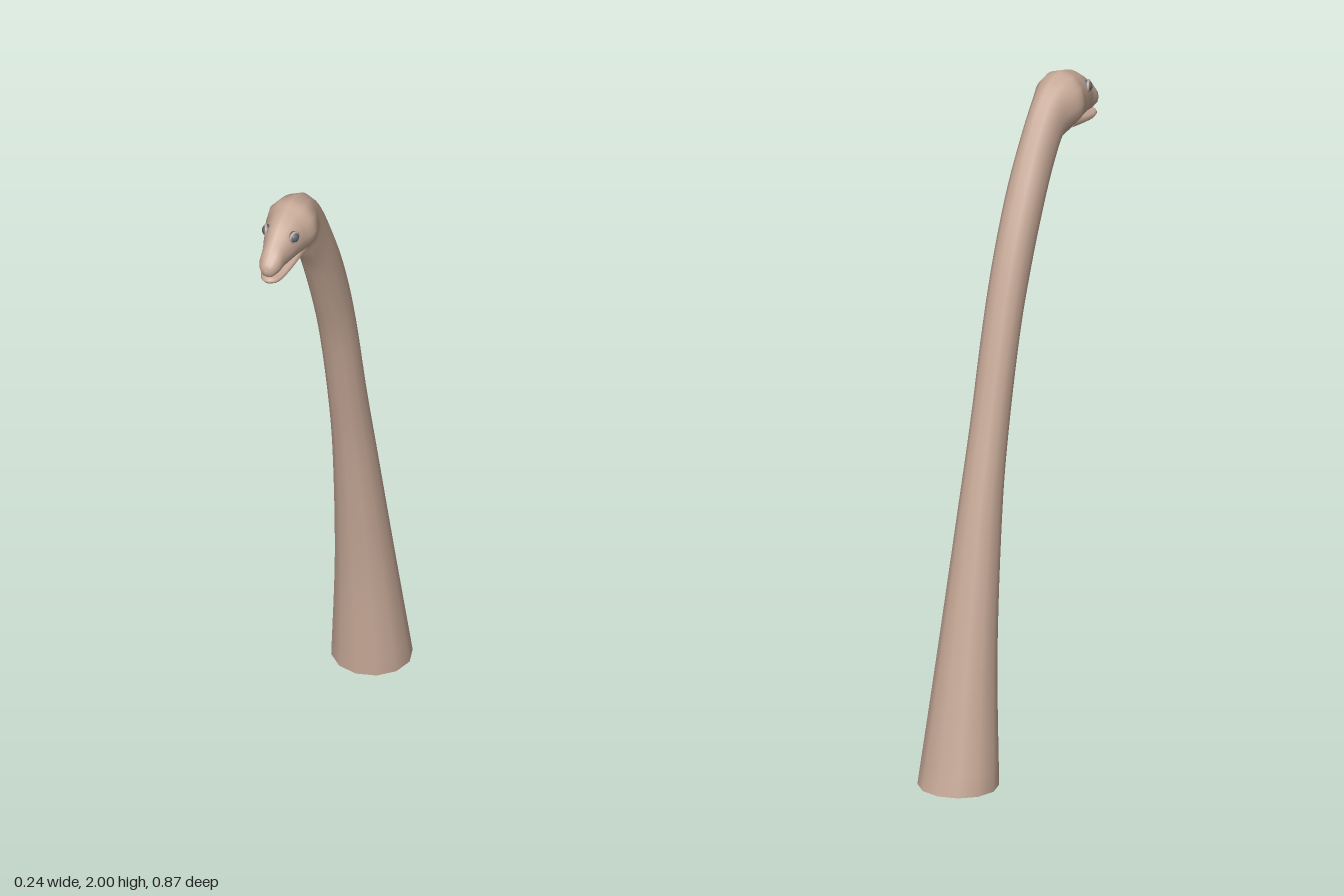
import * as THREE from 'three';

const SIDES = 12;

// Smooth skin through sections [topZ, topY, bottomZ, bottomY, halfWidth], closed at both ends
function loft(sections, rings) {
  const curve = (f) => new THREE.CatmullRomCurve3(sections.map(f), false, 'catmullrom', 0.5);
  const tops = curve((s) => new THREE.Vector3(s[4], s[1], s[0]));
  const bottoms = curve((s) => new THREE.Vector3(s[4], s[3], s[2]));
  const pos = [], index = [];
  for (let i = 0; i <= rings; i++) {
    const t = tops.getPoint(i / rings), b = bottoms.getPoint(i / rings);
    for (let j = 0; j < SIDES; j++) {
      const a = (j / SIDES) * Math.PI * 2, k = (1 + Math.cos(a)) / 2;
      pos.push(t.x * Math.sin(a), b.y + (t.y - b.y) * k, b.z + (t.z - b.z) * k);
      if (i === rings) continue;
      const A = i * SIDES + j, B = i * SIDES + (j + 1) % SIDES;
      index.push(A, A + SIDES, B, B, A + SIDES, B + SIDES);
    }
  }
  // flat start cap on its own vertices, rounded end cap sharing the last ring
  const start = pos.length / 3, last = rings * SIDES;
  pos.push(...pos.slice(0, SIDES * 3));
  const s0 = sections[0], s1 = sections[sections.length - 1];
  pos.push(0, (s0[1] + s0[3]) / 2, (s0[0] + s0[2]) / 2);
  pos.push(0, (s1[1] + s1[3]) / 2, (s1[0] + s1[2]) / 2 + 0.002);
  for (let j = 0; j < SIDES; j++) {
    const n = (j + 1) % SIDES;
    index.push(start + SIDES, start + j, start + n);
    index.push(start + SIDES + 1, last + n, last + j);
  }
  const g = new THREE.BufferGeometry();
  g.setAttribute('position', new THREE.Float32BufferAttribute(pos, 3));
  g.setIndex(index);
  g.computeVertexNormals();
  return g;
}

export function createModel() {
  const group = new THREE.Group();
  const skin = new THREE.MeshStandardMaterial({ color: 0xc8aa98 });
  const eyeMat = new THREE.MeshStandardMaterial({ color: 0x5a6672 });
  const add = (name, geometry, material, parent = group) => {
    const mesh = new THREE.Mesh(geometry, material);
    mesh.name = name;
    parent.add(mesh);
    return mesh;
  };

  // Long neck running on into the skull and snout
  add('neckAndSkull', loft([
    [-0.435, 0, -0.205, 0, 0.118],
    [-0.352, 0.4, -0.185, 0.38, 0.087],
    [-0.265, 0.8, -0.135, 0.78, 0.064],
    [-0.2, 1.06, -0.092, 1.02, 0.056],
    [-0.13, 1.34, -0.03, 1.29, 0.055],
    [-0.07, 1.54, 0.035, 1.475, 0.055],
    [0.005, 1.72, 0.11, 1.65, 0.055],
    [0.09, 1.88, 0.168, 1.745, 0.052],
    [0.165, 1.97, 0.205, 1.802, 0.056],
    [0.24, 2.0, 0.25, 1.825, 0.077],
    [0.29, 1.993, 0.298, 1.83, 0.062],
    [0.335, 1.973, 0.335, 1.834, 0.05],
    [0.375, 1.943, 0.37, 1.838, 0.038],
    [0.405, 1.917, 0.405, 1.84, 0.033],
    [0.43, 1.89, 0.425, 1.845, 0.021],
    [0.437, 1.872, 0.433, 1.855, 0.007],
  ], 90), skin);

  // Lower jaw, leaving a crease for the mouth
  add('lowerJaw', loft([
    [0.25, 1.875, 0.25, 1.826, 0.05],
    [0.32, 1.856, 0.32, 1.82, 0.045],
    [0.38, 1.843, 0.38, 1.814, 0.036],
    [0.412, 1.84, 0.41, 1.816, 0.026],
    [0.427, 1.834, 0.425, 1.823, 0.01],
  ], 20), skin);

  // Eyes with a rim of skin
  for (const side of [1, -1]) {
    const eye = new THREE.Group();
    eye.name = side > 0 ? 'leftEye' : 'rightEye';
    eye.position.set(side * 0.04, 1.937, 0.331);
    eye.rotation.y = side * 1.15;
    add('eyeball', new THREE.SphereGeometry(0.017, 16, 12), eyeMat, eye);
    const lid = add('eyelid', new THREE.TorusGeometry(0.016, 0.004, 8, 20), skin, eye);
    lid.position.z = 0.005;
    group.add(eye);
  }
  return group;
}
